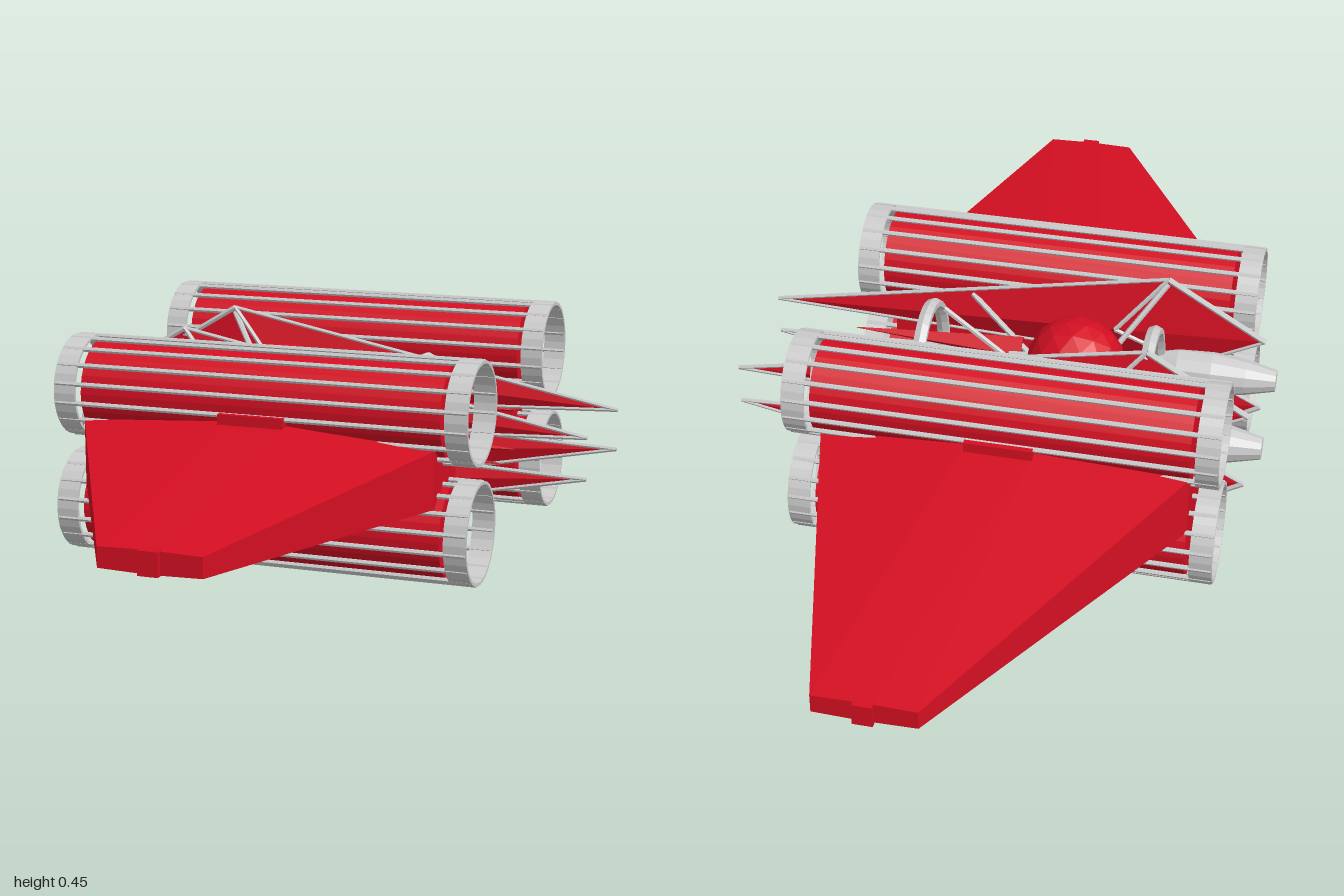
import * as THREE from 'three';
import { ConvexGeometry } from 'three/addons/geometries/ConvexGeometry.js';

const red = new THREE.MeshStandardMaterial({ color: 0xd40f22, flatShading: true });
const grey = new THREE.MeshStandardMaterial({ color: 0xcccccc, flatShading: true });
const greyOpen = new THREE.MeshStandardMaterial({ color: 0xcccccc, flatShading: true, side: THREE.DoubleSide });
const V = (x, y, z) => new THREE.Vector3(x, y, z);
const MID = 0.2325;

function add(parent, name, geometry, material, x = 0, y = 0, z = 0) {
  const mesh = new THREE.Mesh(geometry, material);
  mesh.name = name;
  mesh.position.set(x, y, z);
  parent.add(mesh);
  return mesh;
}

function strut(parent, name, a, b, r = 0.006) {
  const mesh = add(parent, name, new THREE.CylinderGeometry(r, r, a.distanceTo(b), 6), grey);
  mesh.position.copy(a).add(b).multiplyScalar(0.5);
  mesh.quaternion.setFromUnitVectors(V(0, 1, 0), b.clone().sub(a).normalize());
}

// Cylinder along x: r0 at the low-x end, r1 at the high-x end
function tubeX(x0, x1, r0, r1, sides, open = false) {
  return new THREE.CylinderGeometry(r1, r0, x1 - x0, sides, 1, open)
    .rotateZ(-Math.PI / 2).translate((x0 + x1) / 2, 0, 0);
}

// Red drum in a cage of rods with open collars at both ends
function createDrum() {
  const drum = new THREE.Group();
  drum.name = 'drum';
  add(drum, 'drumCore', tubeX(-0.42, 0.3, 0.092, 0.092, 32), red);
  for (const [x0, x1] of [[-0.474, -0.43], [0.31, 0.354]]) {
    add(drum, 'collarOuter', tubeX(x0, x1, 0.099, 0.099, 32, true), greyOpen);
    add(drum, 'collarInner', tubeX(x0, x1, 0.093, 0.093, 32, true), greyOpen);
    for (const x of [x0, x1]) {
      add(drum, 'collarRim', new THREE.RingGeometry(0.093, 0.099, 32).rotateY(Math.PI / 2), greyOpen, x);
    }
  }
  for (let i = 0; i < 16; i++) {
    const a = (i + 0.5) * Math.PI / 8, y = Math.sin(a) * 0.096, z = Math.cos(a) * 0.096;
    strut(drum, 'drumRod', V(-0.472, y, z), V(0.352, y, z), 0.005);
  }
  return drum;
}

// Tapered wing with a thick middle band, and its two drums
function createWing(side) {
  const wing = new THREE.Group();
  wing.name = side > 0 ? 'frontWing' : 'rearWing';
  const root = [[-0.42, 0.062], [-0.13, 0.083], [0, 0.083], [0.285, 0.055]];
  const tip = [[-0.075, 0.018], [0, 0.02], [0.035, 0.02], [0.11, 0.018]];
  const pts = [];
  for (const s of [-1, 1]) {
    for (const [x, y] of root) pts.push(V(x, s * y, side * 0.2), V(x, s * y, side * 0.34));
    for (const [x, y] of tip) pts.push(V(x, s * y, side * 0.99));
  }
  add(wing, 'wingPanel', new ConvexGeometry(pts), red);
  add(wing, 'wingRootBlock', new THREE.BoxGeometry(0.13, 0.2, 0.17), red, -0.065, 0, side * 0.285);
  add(wing, 'wingTip', new THREE.BoxGeometry(0.036, 0.042, 0.03), red, 0.018, 0, side * 0.985);
  for (const s of [-1, 1]) {
    const drum = createDrum();
    drum.position.set(0, s * 0.1145, side * 0.262);
    wing.add(drum);
  }
  wing.position.y = MID - side * 0.0125;
  return wing;
}

// Faceted blade with a grey frame; s picks upper or lower, side picks z
function createBlade(s, side) {
  const blade = new THREE.Group();
  blade.name = s > 0 ? 'upperBlade' : 'lowerBlade';
  const p = (x, y, z = 0) => V(x, MID + s * y, side * (0.13 + z));
  const edge = [p(-0.5, 0.08), p(-0.3, 0.2), p(0.52, 0.04), p(-0.35, 0.005)];
  const ridge = [p(-0.2, 0.085, -0.028), p(-0.2, 0.085, 0.028)];
  add(blade, 'bladeBody', new ConvexGeometry([...edge, ...ridge]), red);
  edge.forEach((a, i) => {
    // Front-tip edges are tapered so the point stays sharp
    const b = edge[(i + 1) % 4];
    strut(blade, 'bladeEdge', a, b, i === 0 ? 0.006 : 0.004);
  });
  for (const r of ridge) for (const e of [edge[1], edge[3]]) strut(blade, 'bladeRib', r, e, 0.005);
  return blade;
}

export function createModel() {
  const model = new THREE.Group();
  model.name = 'spacecraft';

  for (const side of [1, -1]) {
    model.add(createWing(side));
    for (const s of [1, -1]) {
      model.add(createBlade(s, side));
      // Short forward spikes
      add(model, 'forwardSpike', tubeX(-0.02, 0.33, 0.028, 0.001, 4), red, 0, MID + s * 0.04, side * 0.06);
      // Struts from hull to blades and to the forward hoop
      strut(model, 'bladeStrut', V(-0.3, MID + s * 0.19, side * 0.13), V(-0.2, MID + s * 0.06, side * 0.05));
      strut(model, 'bladeStrut', V(0.1, MID + s * 0.11, side * 0.13), V(-0.04, MID + s * 0.04, side * 0.04));
      strut(model, 'hoopStrut', V(0.16, MID + s * 0.1, side * 0.09), V(0, MID + s * 0.03, side * 0.03));
    }
    // Engine pods
    const pod = [[0.001, -0.53], [0.022, -0.53], [0.036, -0.47], [0.046, -0.4], [0.045, -0.33], [0.03, -0.27], [0.001, -0.25]]
      .map(([r, x]) => new THREE.Vector2(r, x));
    add(model, 'enginePod', new THREE.LatheGeometry(pod, 12).rotateZ(-Math.PI / 2), greyOpen, 0, MID, side * 0.115);
  }

  // Central hull with long ribs, tail nozzle and canopy ball
  add(model, 'hull', tubeX(-0.28, -0.02, 0.07, 0.055, 12), red, 0, MID);
  for (let i = 0; i < 10; i++) {
    const a = i * Math.PI / 5, c = Math.cos(a), s = Math.sin(a);
    strut(model, 'hullRib', V(-0.28, MID + s * 0.077, c * 0.077), V(0, MID + s * 0.055, c * 0.055));
  }
  add(model, 'tailNozzle', tubeX(-0.38, -0.27, 0.04, 0.065, 12), grey, 0, MID);
  add(model, 'canopy', new THREE.IcosahedronGeometry(0.1, 2), red, -0.14, 0.29);

  // Hoops joining the two pairs of blades
  for (const x of [-0.29, 0.16]) {
    const hoop = new THREE.TorusGeometry(0.145, 0.011, 6, 32).rotateY(Math.PI / 2).scale(1.3, 1, 0.8);
    add(model, 'hoop', hoop, grey, x, MID);
  }
  return model;
}
